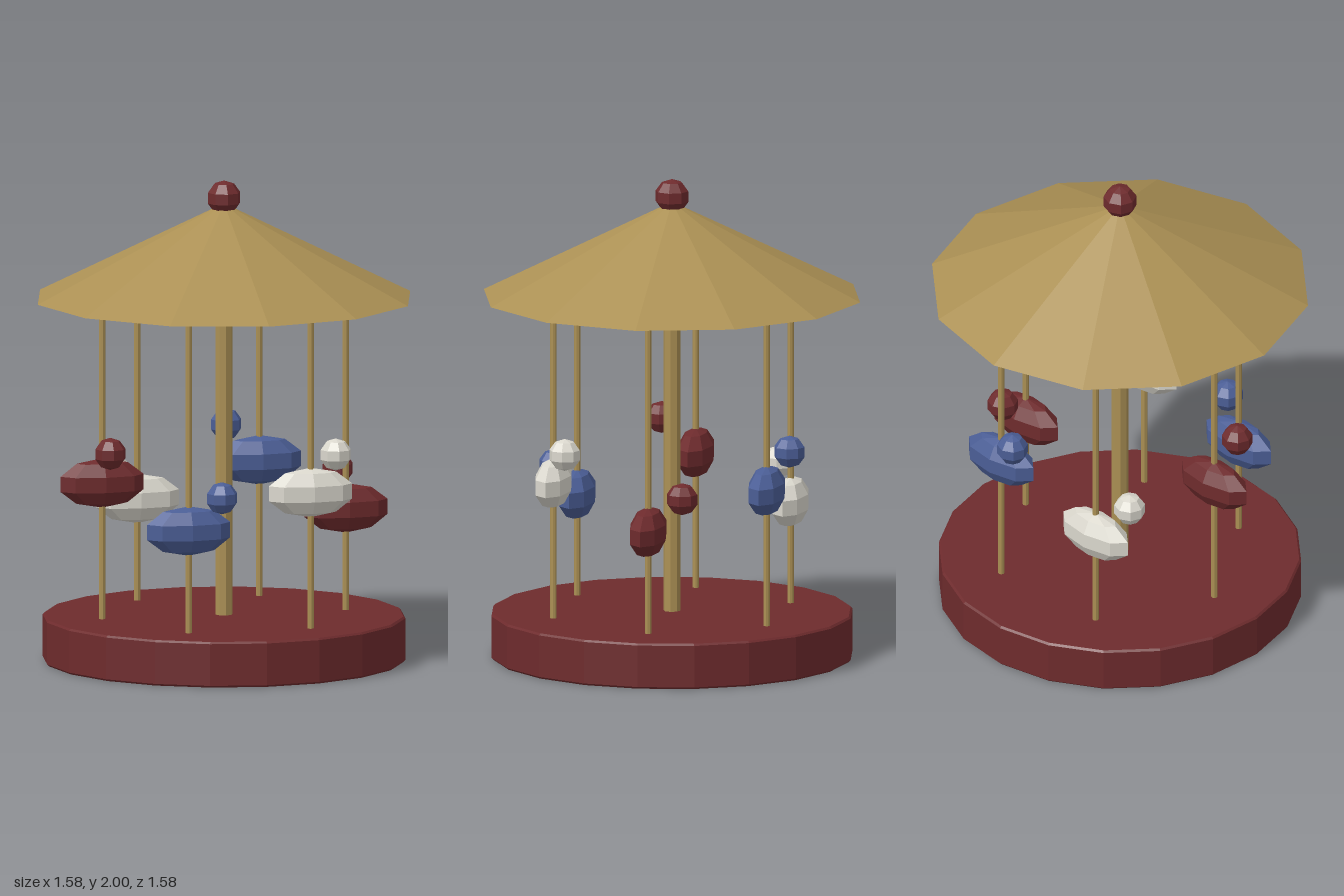
import * as THREE from 'three';

const flat = (geometry) => {
  const g = geometry.index ? geometry.toNonIndexed() : geometry;
  g.computeVertexNormals();
  return g;
};

export function createModel() {
  const material = (name, color) => Object.assign(new THREE.MeshStandardMaterial({ color }), { name });
  const red = material('dark red', 0x6e2b2d);
  const gold = material('dull gold', 0xab9054);
  const white = material('warm white', 0xdad7cd);
  const blue = material('slate blue', 0x4b5e96);

  const root = new THREE.Group();
  root.name = 'carousel';
  const add = (parent, name, geometry, mat, x, y, z) => {
    const mesh = new THREE.Mesh(geometry, mat);
    mesh.name = name;
    mesh.position.set(x, y, z);
    parent.add(mesh);
    return mesh;
  };

  // Round platform with a fine chamfer on both rims
  const profile = [[0, 0], [0.742, 0], [0.75, 0.008], [0.75, 0.182], [0.742, 0.19], [0, 0.19]]
    .map(([r, y]) => new THREE.Vector2(r, y));
  add(root, 'platform', flat(new THREE.LatheGeometry(profile, 20)), red, 0, 0, 0);

  // Central column, canopy and finial
  add(root, 'centralColumn', flat(new THREE.CylinderGeometry(0.035, 0.035, 1.33, 8)), gold, 0, 0.855, 0);
  add(root, 'canopy', flat(new THREE.ConeGeometry(0.79, 0.395, 12)), gold, 0, 1.7075, 0);
  add(root, 'finial', flat(new THREE.SphereGeometry(0.072, 8, 5)), red, 0, 1.928, 0);

  // Six riders on poles, alternating low and high, heads leading around the ring
  const poleGeo = flat(new THREE.CylinderGeometry(0.0135, 0.0135, 1.33, 8));
  const bodyGeo = flat(new THREE.SphereGeometry(0.103, 8, 5).scale(1.8, 1, 0.75));
  const headGeo = flat(new THREE.SphereGeometry(0.067, 8, 5));
  const colours = [red, white, blue];
  for (let i = 0; i < 6; i++) {
    const a = (i * Math.PI) / 3;
    const y = i % 2 ? 0.757 : 0.615;
    const rider = new THREE.Group();
    rider.name = `rider${i + 1}`;
    rider.position.set(0.517 * Math.cos(a), 0, 0.517 * Math.sin(a));
    root.add(rider);
    add(rider, 'pole', poleGeo, gold, 0, 0.85, 0);
    add(rider, 'body', bodyGeo, colours[i % 3], 0, y, 0);
    add(rider, 'head', headGeo, colours[i % 3], 0.143 * Math.sin(a), y + 0.143, -0.143 * Math.cos(a));
  }
  return root;
}
